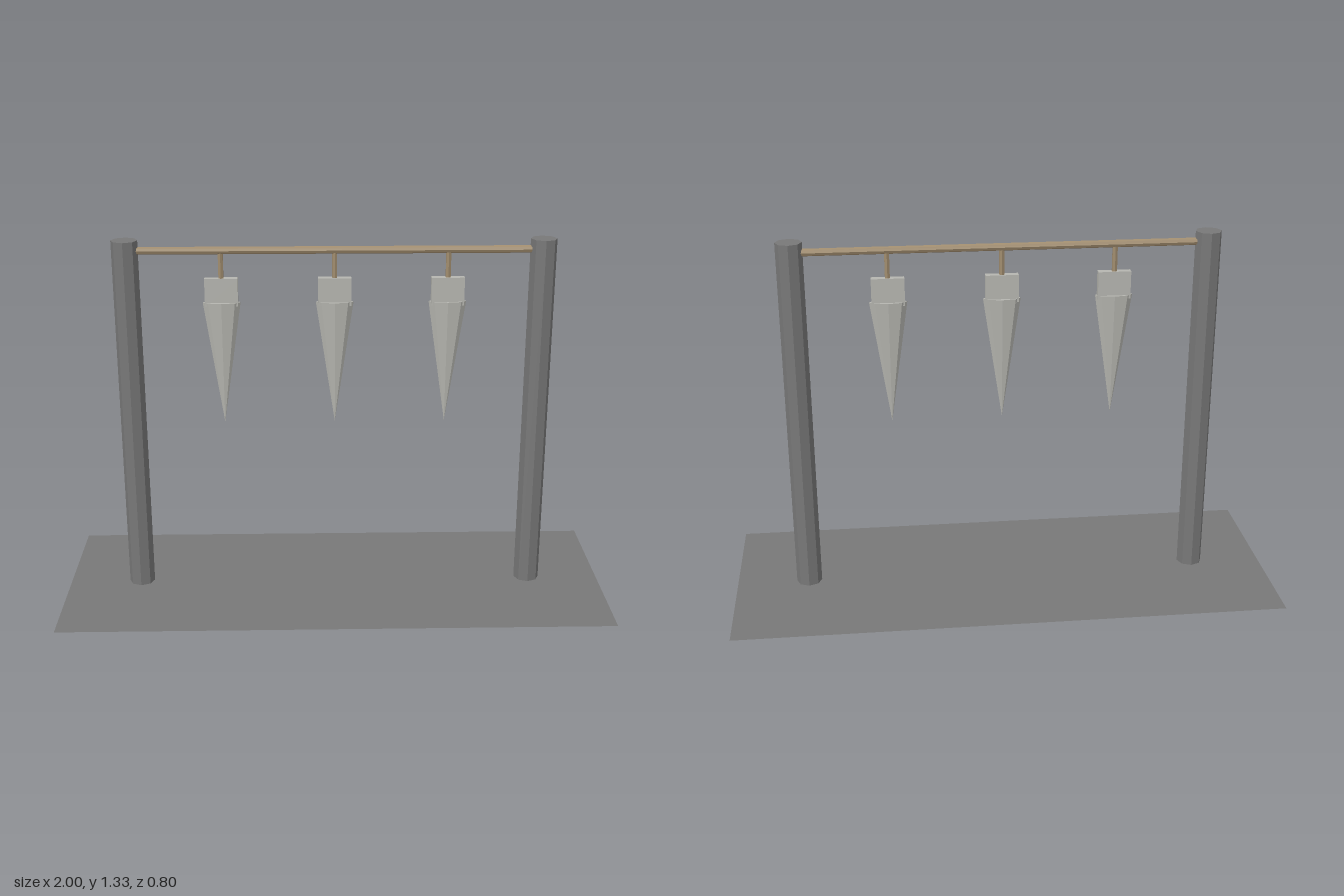
import * as THREE from 'three';

export function createModel() {
  const group = new THREE.Group();
  const stone = new THREE.MeshStandardMaterial({ name: 'darkStone', color: 0x787878, flatShading: true });
  const ground = new THREE.MeshStandardMaterial({ name: 'groundGrey', color: 0x787878, side: THREE.DoubleSide });
  const brass = new THREE.MeshStandardMaterial({ name: 'dullBrass', color: 0xa08c6e, flatShading: true });
  const steel = new THREE.MeshStandardMaterial({ name: 'paleSteel', color: 0xb6b6b0, flatShading: true });

  const add = (name, geometry, material, x, y, z = 0, parent = group) => {
    const mesh = new THREE.Mesh(geometry, material);
    mesh.name = name;
    mesh.position.set(x, y, z);
    parent.add(mesh);
    return mesh;
  };

  // Thin ground sheet, just above the feet of the posts
  add('groundSheet', new THREE.PlaneGeometry(2, 0.8).rotateX(-Math.PI / 2), ground, 0, 0.02);

  // Octagonal posts
  const postGeometry = new THREE.CylinderGeometry(0.0467, 0.0467, 1.333, 8);
  for (const side of [-1, 1]) {
    add(side > 0 ? 'leftPost' : 'rightPost', postGeometry, stone, side * 0.733, 0.6667);
  }

  // Crossbar between the posts
  add('crossbar', new THREE.CylinderGeometry(0.0135, 0.0135, 1.44, 8).rotateZ(Math.PI / 2), brass, 0, 1.296);

  // Three hanging blades: rod, flat tang and flattened cone
  const rodGeometry = new THREE.CylinderGeometry(0.01, 0.01, 0.13, 6);
  const tangGeometry = new THREE.BoxGeometry(0.117, 0.1, 0.0267);
  const bladeGeometry = new THREE.ConeGeometry(0.067, 0.45, 8).rotateX(Math.PI).scale(1, 1, 0.4);
  for (const x of [-0.4, 0, 0.4]) {
    const pendant = new THREE.Group();
    pendant.name = 'hangingBlade';
    pendant.position.x = x;
    add('hangingRod', rodGeometry, brass, 0, 1.23, 0, pendant);
    add('tang', tangGeometry, steel, 0, 1.147, 0, pendant);
    add('blade', bladeGeometry, steel, 0, 0.885, 0, pendant);
    group.add(pendant);
  }
  return group;
}
